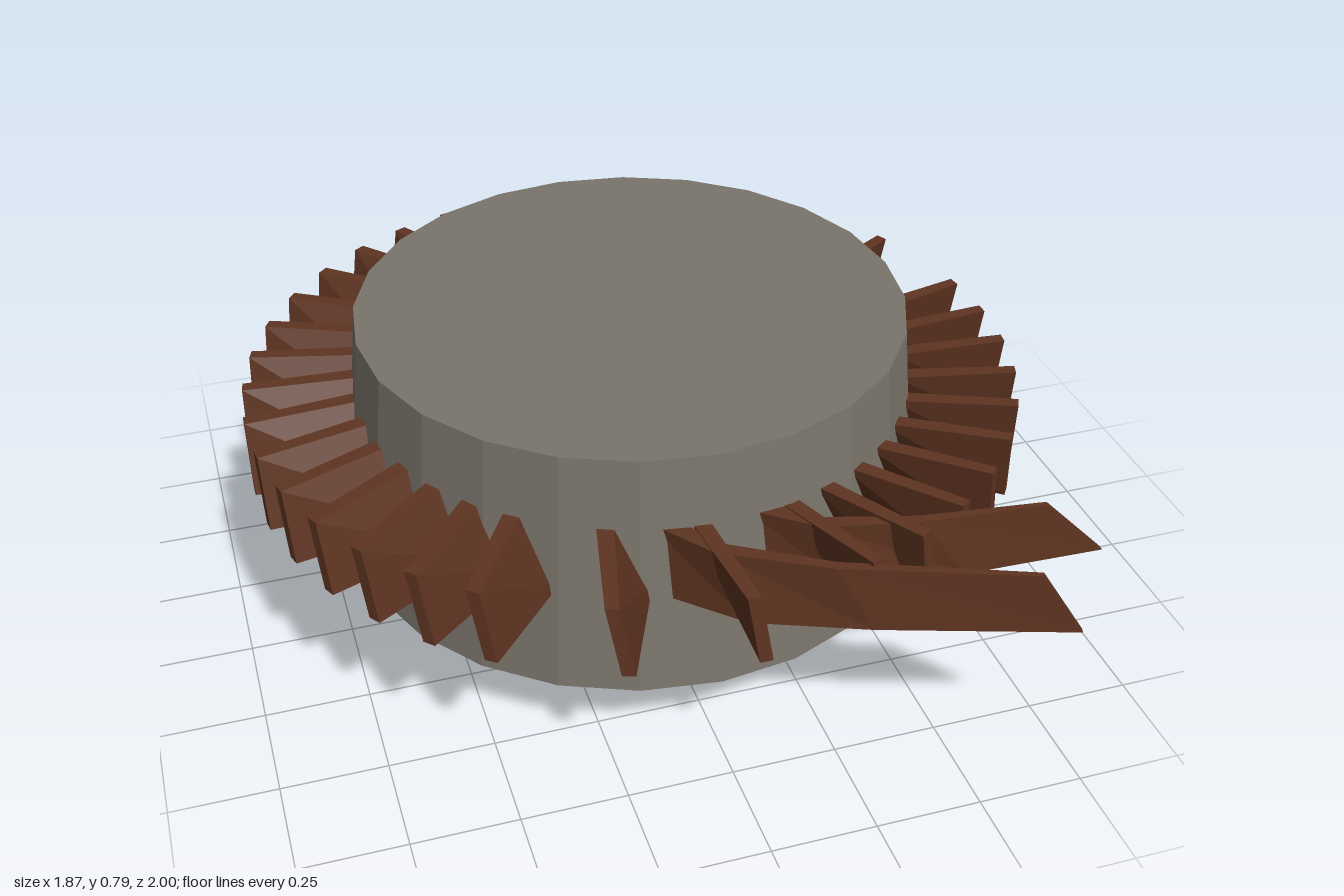
import * as THREE from 'three';

const grey = new THREE.MeshStandardMaterial({ color: 0x7a756b, flatShading: true });
const brown = new THREE.MeshStandardMaterial({ color: 0x5e3421, flatShading: true });
const CENTRE_Z = -0.06, LOW = 0.44, HIGH = 0.62;

// Solid through four-cornered sections, each counter-clockwise seen from the far end
function loft(sections) {
  const pos = [];
  const quad = (a, b, c, d) => [a, b, c, a, c, d].forEach((p) => pos.push(...p));
  for (let k = 0; k + 1 < sections.length; k++) {
    const s = sections[k], e = sections[k + 1];
    for (let i = 0; i < 4; i++) quad(s[i], s[(i + 1) % 4], e[(i + 1) % 4], e[i]);
  }
  const first = sections[0];
  quad(first[3], first[2], first[1], first[0]);
  quad(...sections[sections.length - 1]);
  const geo = new THREE.BufferGeometry();
  geo.setAttribute('position', new THREE.Float32BufferAttribute(pos, 3));
  geo.computeVertexNormals();
  return geo;
}

// Slanted parallelogram: w is half the overall width, t the thickness
const slanted = (r, w, t) => [
  [w - t, LOW, r], [w, LOW, r], [t - w, HIGH, r], [-w, HIGH, r],
];

// Torn blade: an upright sheet following [x, z, half thickness, slant] points
function bentBlade(points) {
  return loft(points.map(([x, z, t, slant], i) => {
    const a = points[Math.max(i - 1, 0)], b = points[Math.min(i + 1, points.length - 1)];
    const len = Math.hypot(b[0] - a[0], b[1] - a[1]);
    const dx = (b[0] - a[0]) / len, dz = (b[1] - a[1]) / len;
    const trim = 0.005 * i;
    const corner = (side, y, s) => [x + dz * t * side + dx * s, y, z - dx * t * side + dz * s];
    return [
      corner(-1, LOW + trim, slant), corner(1, LOW + trim, slant),
      corner(1, HIGH - trim, -slant), corner(-1, HIGH - trim, -slant),
    ];
  }));
}

export function createModel() {
  const group = new THREE.Group();
  const add = (name, geo, mat, y = 0, z = 0) => {
    const mesh = new THREE.Mesh(geo, mat);
    mesh.name = name;
    mesh.position.set(0, y, z);
    group.add(mesh);
    return mesh;
  };

  // Tapered drum and the short shaft under it
  add('drum', new THREE.CylinderGeometry(0.66, 0.72, 0.59, 24), grey, 0.495, CENTRE_Z);
  add('shaft', new THREE.CylinderGeometry(0.228, 0.228, 0.21, 16), brown, 0.105, CENTRE_Z);

  // Ring of slanted blades, some lost
  const blade = loft([slanted(0.64, 0.062, 0.04), slanted(0.935, 0.032, 0.03)]);
  const missing = [1, 3, 39, 12 + 14, 28];
  for (let i = 0; i < 40; i++) {
    if (missing.includes(i)) continue;
    add('blade', blade, brown, 0, CENTRE_Z).rotation.y = -i * Math.PI / 20;
  }

  // Two blades bent sideways at the front
  add('bentBladeRight', bentBlade([
    [-0.11, 0.58, 0.025, 0.03], [0, 0.715, 0.018, 0.04],
    [0.23, 0.83, 0.012, 0.045], [0.64, 0.978, 0.006, 0.05],
  ]), brown);
  add('bentBladeLeft', bentBlade([
    [0.1, 0.58, 0.025, 0.03], [0.25, 0.685, 0.018, 0.04],
    [0.48, 0.723, 0.012, 0.06], [0.79, 0.746, 0.006, 0.075],
  ]), brown);

  return group;
}
